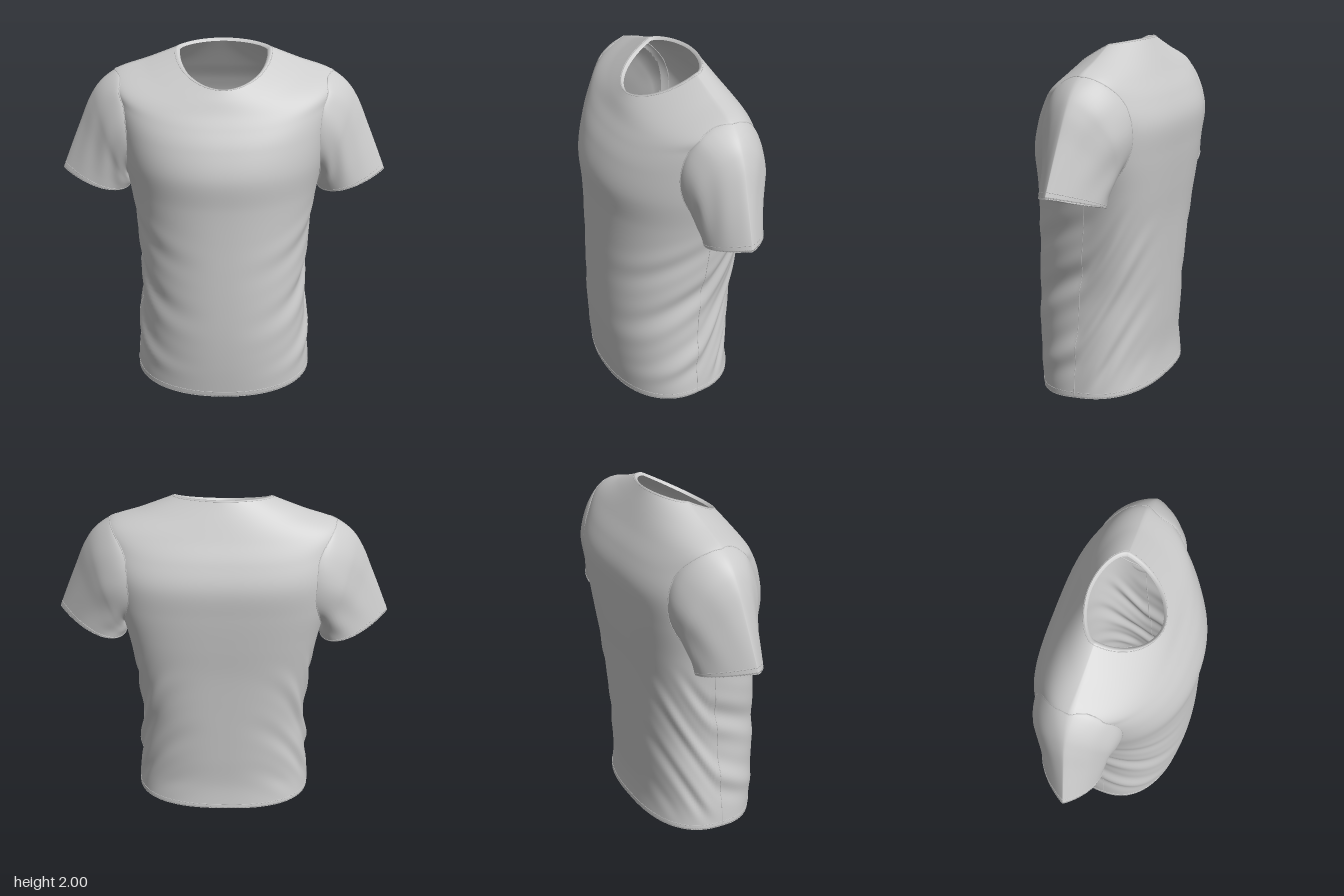
import * as THREE from 'three';

const cloth = new THREE.MeshStandardMaterial({ color: 0xcccccc, side: THREE.DoubleSide });

// Smooth interpolation through the rows of a table, u in 0..1
function sample(rows, u) {
  const f = THREE.MathUtils.clamp(u, 0, 1) * (rows.length - 1);
  const i = Math.min(Math.floor(f), rows.length - 2), t = f - i;
  const row = k => rows[THREE.MathUtils.clamp(k, 0, rows.length - 1)];
  return rows[i].map((p1, k) => {
    const p0 = row(i - 1)[k], p2 = row(i + 1)[k], p3 = row(i + 2)[k];
    return p1 + 0.5 * t * (p2 - p0 + t * (2 * p0 - 5 * p1 + 4 * p2 - p3 + t * (3 * (p1 - p2) + p3 - p0)));
  });
}

// Closed rings joined into a skin; cells whose corner fails keep() are left open
function loft(name, point, rows, sides, keep = () => true) {
  const pos = [], index = [], pts = [];
  for (let i = 0; i <= rows; i++) {
    for (let j = 0; j < sides; j++) {
      const p = point(i, (j / sides) * Math.PI * 2);
      pts.push(p);
      pos.push(p.x, p.y, p.z);
    }
  }
  for (let i = 0; i < rows; i++) {
    for (let j = 0; j < sides; j++) {
      const a = i * sides + j, b = a + sides;
      const c = i * sides + (j + 1) % sides, d = c + sides;
      if (keep(pts[a])) index.push(a, b, c, c, b, d);
    }
  }
  const g = new THREE.BufferGeometry();
  g.setAttribute('position', new THREE.Float32BufferAttribute(pos, 3));
  g.setIndex(index);
  g.computeVertexNormals();
  const mesh = new THREE.Mesh(g, cloth);
  mesh.name = name;
  return mesh;
}

function seam(name, points, closed, radius = 0.002) {
  const curve = new THREE.CatmullRomCurve3(points, closed);
  const mesh = new THREE.Mesh(new THREE.TubeGeometry(curve, points.length * 2, radius, 5, closed), cloth);
  mesh.name = name;
  return mesh;
}

const around = (n, fn) => Array.from({ length: n }, (_, i) => fn((i / n) * Math.PI * 2));

// Body rings: side x, y, z | front y, z | back y, z | front and back squareness
const BODY = [
  [0.515, 0.04, 0.01, 0.0, 0.37, 0.06, -0.338, 2.2, 2.5],
  [0.502, 0.22, 0.01, 0.20, 0.392, 0.22, -0.325, 2.2, 2.5],
  [0.487, 0.42, 0.00, 0.41, 0.405, 0.42, -0.335, 2.2, 2.5],
  [0.472, 0.62, -0.01, 0.62, 0.408, 0.62, -0.345, 2.2, 2.6],
  [0.482, 0.82, -0.03, 0.82, 0.406, 0.82, -0.355, 2.2, 2.8],
  [0.502, 1.02, -0.05, 1.02, 0.402, 1.02, -0.367, 2.2, 3.0],
  [0.532, 1.21, -0.07, 1.21, 0.402, 1.21, -0.386, 2.2, 3.1],
  [0.572, 1.41, -0.09, 1.39, 0.41, 1.40, -0.402, 2.2, 3.1],
  [0.592, 1.61, -0.09, 1.54, 0.365, 1.57, -0.408, 2.25, 3.1],
  [0.602, 1.76, -0.09, 1.64, 0.312, 1.70, -0.365, 2.25, 2.9],
  [0.60, 1.845, -0.09, 1.71, 0.268, 1.81, -0.305, 2.1, 2.5],
  [0.42, 1.91, -0.085, 1.775, 0.232, 1.91, -0.25, 2.0, 2.1],
  [0.25, 1.975, -0.08, 1.83, 0.195, 1.995, -0.2, 1.9, 1.8],
];

// Soft drapes: shallow across the front, steep across the back, strongest on the flanks
function drape(y, t) {
  const c = Math.cos(t), s = Math.sin(t);
  const fade = THREE.MathUtils.smoothstep(y, 0.05, 0.25) * (1 - THREE.MathUtils.smoothstep(y, 0.85, 1.2));
  const phase = 22 * y + (s > 0 ? 6 : 16) * s + Math.sign(c) * 0.6;
  return fade * c * c * (0.008 * Math.sin(phase) + 0.004 * Math.sin(1.7 * phase + 1));
}

function bodyPoint(u, t, inset = 0, lift = 0) {
  const [w, sy, sz, fy, fz, by, bz, nf, nb] = sample(BODY, u);
  const c = Math.cos(t), s = Math.sin(t), front = s >= 0, n = front ? nf : nb;
  const C = Math.sign(c) * Math.abs(c) ** (2 / n), S = Math.abs(s) ** (2 / n);
  const y = sy + ((front ? fy : by) - sy) * S;
  const d = drape(y, t) - inset;
  return new THREE.Vector3(w * C + d * c, y + lift, sz + ((front ? fz : bz) - sz) * S + d * s);
}

// Armhole oval in the y-z plane
const HOLE = { y: 1.545, z: -0.09, ry: 0.3, rz: 0.243 };
const inHole = p => Math.abs(p.x) > 0.4 &&
  Math.hypot((p.y - HOLE.y) / HOLE.ry, (p.z - HOLE.z) / HOLE.rz) < 0.86;

// Points of the armhole oval laid on the body surface
function armhole(sides) {
  const skin = [];
  for (let i = 0; i <= 170; i++) {
    for (let j = -100; j <= 100; j++) skin.push(bodyPoint(0.45 + 0.4 * (i / 170), j * 0.012));
  }
  return around(sides, a => {
    const y = HOLE.y + HOLE.ry * Math.cos(a), z = HOLE.z - HOLE.rz * Math.sin(a);
    let best = null, min = Infinity;
    for (const p of skin) {
      const d = (p.y - y) ** 2 + (p.z - z) ** 2;
      if (p.x > 0.38 && d < min) { min = d; best = p; }
    }
    return new THREE.Vector3(best.x, y, z);
  });
}

// Sleeve rings: top x, y | bottom x, y | top z, bottom z, half depth | pinch of the upper edge
const SLEEVE = [
  [0.60, 1.845, 0.54, 1.245, -0.09, -0.09, 0.243, 0],
  [0.68, 1.785, 0.53, 1.22, -0.085, -0.09, 0.225, 0.25],
  [0.745, 1.685, 0.528, 1.20, -0.08, -0.092, 0.205, 0.45],
  [0.80, 1.555, 0.53, 1.185, -0.07, -0.095, 0.19, 0.6],
  [0.855, 1.42, 0.535, 1.172, -0.06, -0.098, 0.178, 0.7],
  [0.91, 1.28, 0.54, 1.16, -0.05, -0.102, 0.17, 0.8],
];
const SLEEVE_SIDES = 64;

function sleevePoint(root, u, a, inset = 0) {
  const [tx, ty, bx, by, tz, bz, rz, pinch] = sample(SLEEVE, u);
  const k = (1 + Math.cos(a)) / 2;
  const crease = 0.004 * Math.sin(u * Math.PI) * Math.sin(9 * a + 5 * u);
  // teardrop section: full below, narrow along the top
  const depth = Math.sin(a) * Math.sin(a / 2) ** pinch * (1 + 0.27 * pinch);
  const p = new THREE.Vector3(bx + (tx - bx) * k - inset * Math.cos(a), by + (ty - by) * k,
    bz + (tz - bz) * k - (rz - inset + crease) * depth);
  // near the shoulder the ring follows the armhole
  const j = Math.round((a / (Math.PI * 2)) * SLEEVE_SIDES);
  return p.lerp(root[j % SLEEVE_SIDES], (1 - THREE.MathUtils.clamp(u / 0.3, 0, 1)) ** 2);
}

export function createModel() {
  const shirt = new THREE.Group();
  shirt.name = 'tShirt';

  // Body with a folded hem inside the bottom and a folded collar inside the neck
  const ROWS = 120;
  shirt.add(loft('body', (i, t) => {
    if (i === 0) return bodyPoint(0, t, 0.008, 0.04);
    if (i === ROWS + 2) return bodyPoint(1, t, 0.012, -0.015);
    return bodyPoint((i - 1) / ROWS, t);
  }, ROWS + 2, 160, p => !inHole(p)));

  // Stitch lines at hem, collar and flanks
  shirt.add(seam('hemStitch', around(96, t => bodyPoint(0.02, t)), true));
  shirt.add(seam('collarStitch', around(64, t => bodyPoint(0.988, t)), true));
  for (const t of [0, Math.PI]) {
    shirt.add(seam('sideSeam', Array.from({ length: 40 }, (_, i) => bodyPoint(0.5 * i / 39, t)), false));
  }

  // Sleeves with a folded cuff
  const root = armhole(SLEEVE_SIDES);
  for (const side of [1, -1]) {
    const group = new THREE.Group();
    group.name = side > 0 ? 'leftSleeve' : 'rightSleeve';
    const place = (u, a, inset) => {
      const p = sleevePoint(root, u, side > 0 ? a : Math.PI * 2 - a, inset);
      p.x *= side;
      return p;
    };
    group.add(loft('sleeve', (i, a) => (i > 40 ? place(0.94, a, 0.008) : place(i / 40, a)), 41, SLEEVE_SIDES));
    group.add(seam('armholeSeam', around(SLEEVE_SIDES, a => place(0, a)), true, 0.003));
    group.add(seam('cuffStitch', around(SLEEVE_SIDES, a => place(0.94, a)), true));
    shirt.add(group);
  }
  return shirt;
}
